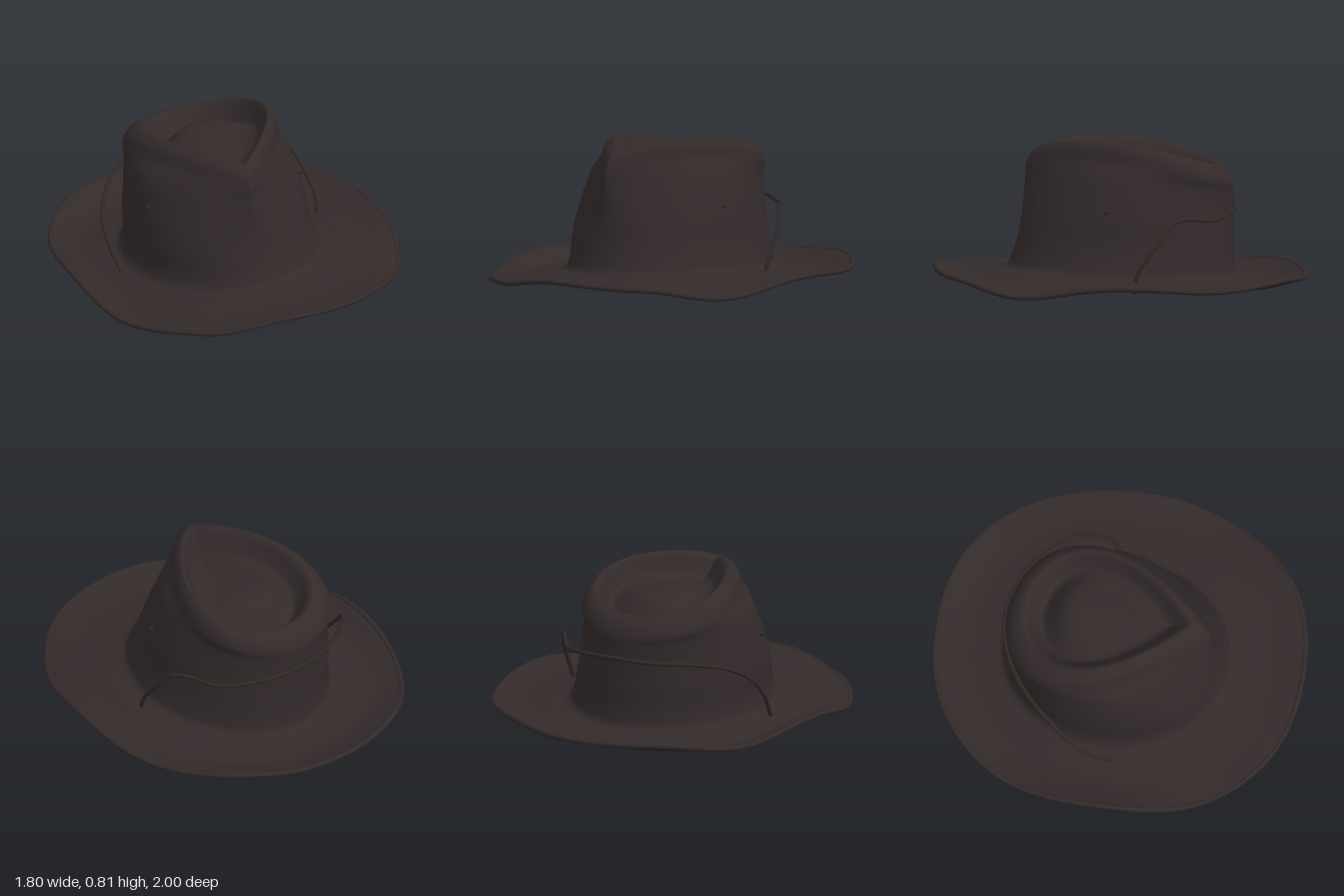
import * as THREE from 'three';

const felt = new THREE.MeshStandardMaterial({ color: 0x332a2a });
felt.name = 'dark brown felt';
const leather = new THREE.MeshStandardMaterial({ color: 0x302827 });
leather.name = 'dark leather';

const SEG = 120, STEPS = 90, THICK = 0.018;
const V = (x, y, z) => new THREE.Vector3(x, y, z);

// wavy brim edge heights, every 30 degrees from the front towards +x
const EDGE = [0.135, 0.125, 0.07, 0.13, 0.1, 0.115, 0.08, 0.09, 0.05, 0.105, 0.04, 0.075];
function edgeHeight(t) {
  const u = t / (Math.PI / 6), i = Math.floor(u), f = u - i;
  const k = (1 - Math.cos(f * Math.PI)) / 2;
  return THREE.MathUtils.lerp(EDGE[i % 12], EDGE[(i + 1) % 12], k);
}

// squarish oval outline of the brim
function brimPoint(t, scale, y) {
  const s = Math.sin(t), c = Math.cos(t), p = 2 / 2.25;
  return V(0.885 * scale * Math.sign(s) * Math.abs(s) ** p, y,
    0.985 * scale * Math.sign(c) * Math.abs(c) ** p);
}

const oval = (t, cx, cz, rx, rz, y) => V(cx + rx * Math.sin(t), y, cz + rz * Math.cos(t));

// teardrop crease on the crown, pointed at the front
function tear(t, scale, y) {
  const x = 0.475 * Math.sin(t) * Math.abs(Math.sin(t / 2)) ** 0.8;
  return V(0.02 - 0.07 * scale + scale * x, y, -0.1 + scale * (0.045 + 0.515 * Math.cos(t)));
}
function ridgeHeight(t) {
  const p = tear(t, 0.88, 0);
  return 0.805 - 0.31 * (p.z - 0.16) ** 2 + 0.06 * p.x - 0.02 * Math.max(0, Math.cos(t)) ** 8;
}

// one radial section, from brim edge up the crown and into the crease
function section(t) {
  const e = edgeHeight(t), r = ridgeHeight(t);
  const lift = Math.cos(t - Math.PI / 4); // brim tilts up at the front left
  const pinch = Math.max(0, Math.cos(t)); // dents on both sides of the front
  const mid = oval(t, -0.042, -0.04, 0.47, 0.563, 0).lerp(tear(t, 1.1, 0), 0.25 * pinch);
  mid.y = 0.1 + 0.46 * (r - 0.1);
  const high = oval(t, -0.055, -0.05, 0.445, 0.553, 0).lerp(tear(t, 1.08, 0), 0.3 + 0.55 * pinch);
  high.y = 0.1 + 0.74 * (r - 0.1);
  return new THREE.CatmullRomCurve3([
    brimPoint(t, 1, e),
    brimPoint(t, 0.95, e * 0.75 + 0.015 + 0.015 * lift),
    brimPoint(t, 0.83, 0.07 + 0.04 * lift + 0.2 * (e - 0.1)),
    brimPoint(t, 0.7, 0.083 + 0.043 * lift),
    oval(t, -0.02, -0.01, 0.525, 0.615, 0.1 + 0.04 * lift),
    oval(t, -0.02, -0.015, 0.5, 0.592, 0.16 + 0.025 * lift),
    oval(t, -0.035, -0.03, 0.485, 0.575, 0.28),
    mid,
    high,
    tear(t, 1.07, r - 0.1),
    tear(t, 1.0, r - 0.035),
    tear(t, 0.88, r),
    tear(t, 0.82, r - 0.015),
    tear(t, 0.74, r - 0.07),
    tear(t, 0.66, r - 0.105),
    tear(t, 0.4, 0.69),
    V(-0.02, 0.705, -0.1),
  ], false, 'centripetal');
}

// outer shell and the offset lining beneath it
function feltShells() {
  const pos = [], idx = [], back = [];
  for (let j = 0; j < SEG; j++) {
    const curve = section((j / SEG) * Math.PI * 2);
    for (let i = 0; i <= STEPS; i++) pos.push(...curve.getPoint(i / STEPS).toArray());
  }
  const n = STEPS + 1;
  for (let j = 0; j < SEG; j++) {
    for (let i = 0; i < STEPS; i++) {
      const a = j * n + i, b = ((j + 1) % SEG) * n + i;
      idx.push(a, b, a + 1);
      if (i < STEPS - 1) idx.push(b, b + 1, a + 1);
    }
  }
  for (let k = 0; k < idx.length; k += 3) back.push(idx[k], idx[k + 2], idx[k + 1]);
  const outer = new THREE.BufferGeometry();
  outer.setAttribute('position', new THREE.Float32BufferAttribute(pos, 3));
  outer.setIndex(idx);
  outer.computeVertexNormals();
  const nor = outer.attributes.normal.array;
  const inner = new THREE.BufferGeometry();
  inner.setAttribute('position', new THREE.Float32BufferAttribute(pos.map((p, k) => p - nor[k] * THICK), 3));
  inner.setIndex(back);
  inner.computeVertexNormals();
  return [outer, inner];
}

function cord(points, radius, closed = false) {
  const curve = new THREE.CatmullRomCurve3(points.map((p) => V(...p)), closed);
  return new THREE.TubeGeometry(curve, points.length * 10, radius, 8, closed);
}

export function createModel() {
  const hat = new THREE.Group();
  hat.name = 'hat';
  const add = (name, geometry, material) => {
    const mesh = new THREE.Mesh(geometry, material);
    mesh.name = name;
    hat.add(mesh);
    return mesh;
  };

  const [outer, inner] = feltShells();
  add('crownAndBrim', outer, felt);
  add('lining', inner, felt);

  // rolled edge around the brim
  const rim = [];
  for (let j = 0; j < 60; j++) {
    const t = (j / 60) * Math.PI * 2;
    rim.push(brimPoint(t, 0.999, edgeHeight(t) - THICK / 2).toArray());
  }
  add('brimEdge', cord(rim, 0.014, true), felt);

  // cord looped round the back of the crown and down through the brim
  add('windCord', cord([
    [-0.6, 0.04, 0.05], [-0.64, 0.2, -0.08], [-0.63, 0.3, -0.17], [-0.56, 0.38, -0.29],
    [-0.43, 0.42, -0.44], [-0.24, 0.43, -0.565], [-0.04, 0.44, -0.615], [0.15, 0.43, -0.59],
    [0.34, 0.41, -0.49], [0.44, 0.43, -0.37], [0.5, 0.42, -0.29], [0.545, 0.33, -0.22],
    [0.575, 0.2, -0.12], [0.565, 0.06, -0.06],
  ], 0.011), leather);

  // chin cords crossing the opening from the brim holes to the knot
  add('chinCordShort', cord([
    [0.565, 0.06, -0.06], [0.48, 0.05, -0.09], [0.385, 0.06, -0.15], [0.17, 0.07, -0.34],
    [-0.08, 0.07, -0.43], [-0.29, 0.07, -0.43],
  ], 0.011), leather);
  add('chinCordLong', cord([
    [-0.6, 0.04, 0.05], [-0.5, 0.03, 0.08], [-0.235, 0.05, 0.07], [0.05, 0.06, 0.04], [0.23, 0.07, -0.03],
    [0.35, 0.08, -0.18], [0.36, 0.1, -0.36], [0.22, 0.11, -0.48], [-0.05, 0.09, -0.5], [-0.29, 0.07, -0.43],
  ], 0.011), leather);

  // coiled knot with two loose ends
  for (let k = 0; k < 3; k++) {
    const coil = add('knotCoil', new THREE.TorusGeometry(0.055 - k * 0.01, 0.012, 8, 24), leather);
    coil.position.set(-0.3, 0.06 + k * 0.015, -0.42);
    coil.rotation.set(Math.PI / 2 + 0.25 * (k - 1), 0.3 * (k - 1), 0);
  }
  for (const dx of [-0.04, 0.04]) {
    add('knotEnd', cord([[-0.3, 0.07, -0.42], [-0.37 + dx, 0.06, -0.33], [-0.43 + dx, 0.06, -0.23]], 0.008), leather);
  }

  // small ventilation eyelets in the crown sides
  for (const [x, z] of [[0.415, 0.07], [-0.488, 0.13]]) {
    const eyelet = add('eyelet', new THREE.SphereGeometry(0.012, 12, 8), leather);
    eyelet.position.set(x, 0.465, z);
  }
  return hat;
}
